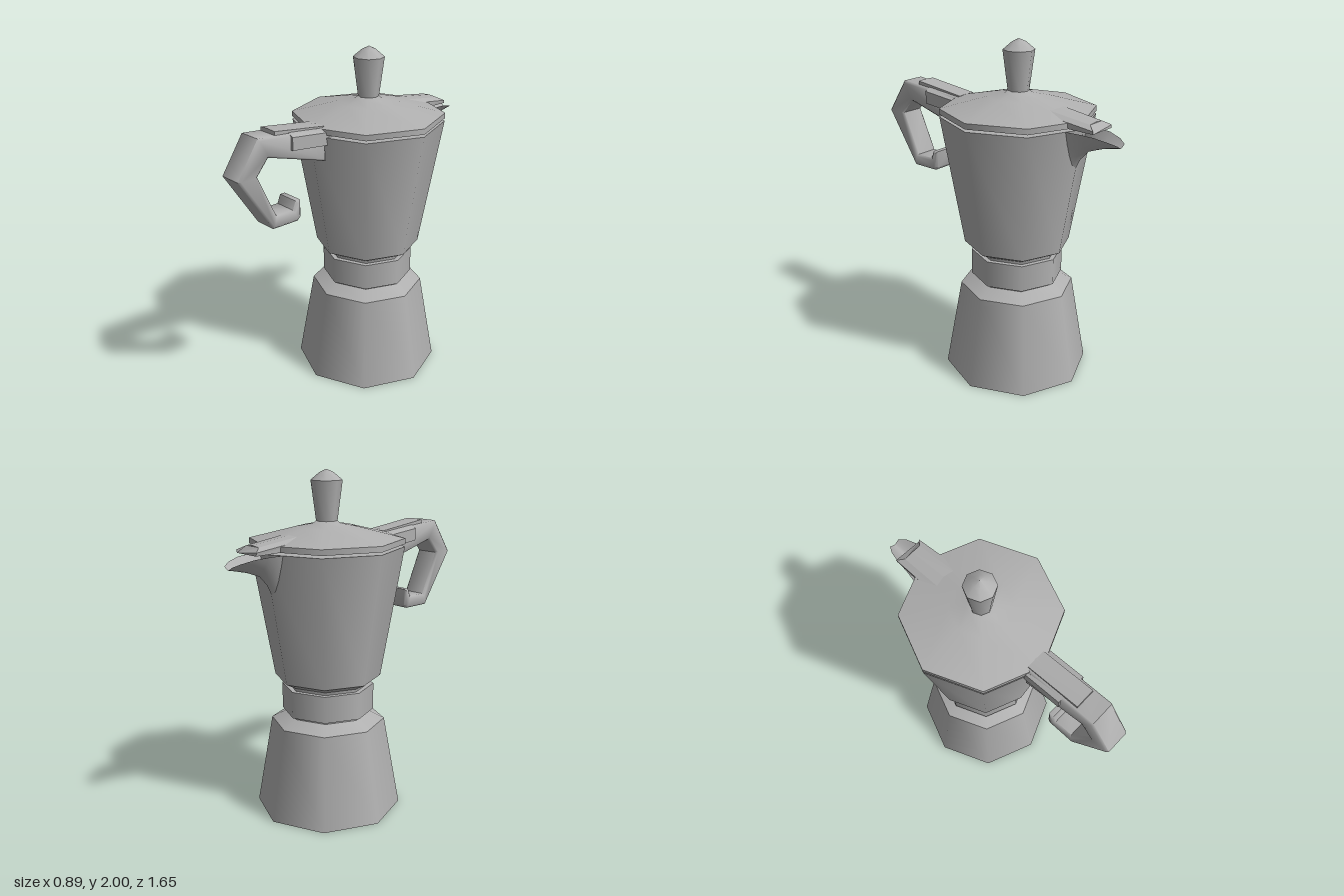
import * as THREE from 'three';
import { toCreasedNormals } from 'three/addons/utils/BufferGeometryUtils.js';

const SIDES = 8;
const AXIS_Z = -0.15; // the pot's centre line

export function createModel() {
  const group = new THREE.Group();
  const metal = new THREE.MeshStandardMaterial({ color: 0xb0b0b0, side: THREE.DoubleSide });
  metal.name = 'grey metal';

  const add = (name, geometry) => {
    const mesh = new THREE.Mesh(geometry, metal);
    mesh.name = name;
    group.add(mesh);
    return mesh;
  };

  // Octagonal turned part; a repeated profile point makes a sharp edge
  const turned = (name, profile) => {
    const points = profile.map(([r, y]) => new THREE.Vector2(r, y));
    add(name, new THREE.LatheGeometry(points, SIDES)).position.z = AXIS_Z;
  };

  turned('base', [[0, 0], [0.43, 0], [0.43, 0], [0.335, 0.54], [0.335, 0.54],
    [0.245, 0.585], [0.245, 0.585], [0.245, 0.61]]);
  turned('collar', [[0, 0.6], [0.27, 0.6], [0.27, 0.6], [0.27, 0.757], [0.27, 0.757], [0, 0.757]]);
  turned('pot', [[0.24, 0.75], [0.245, 0.775], [0.245, 0.775], [0.31, 0.81], [0.31, 0.81],
    [0.442, 1.57], [0.442, 1.57], [0, 1.57]]);
  turned('lid', [[0, 1.585], [0.443, 1.585], [0.443, 1.585], [0.443, 1.617], [0.443, 1.617],
    [0.175, 1.683], [0.08, 1.7], [0.06, 1.715], [0, 1.715]]);
  turned('knob', [[0, 1.71], [0.06, 1.71], [0.06, 1.71], [0.09, 1.94], [0.09, 1.94], [0.04, 1.982], [0, 2]]);

  // Ridged bar along z: cross-section given at z0, its height rising by slope
  const bar = (name, section, z0, z1, slope) => {
    const shape = new THREE.Shape(section.map(([x, y]) => new THREE.Vector2(x, y)));
    const geometry = new THREE.ExtrudeGeometry(shape, { depth: z1 - z0, bevelEnabled: false });
    const p = geometry.attributes.position;
    for (let i = 0; i < p.count; i++) p.setY(i, p.getY(i) + p.getZ(i) * slope);
    geometry.translate(0, 0, z0);
    geometry.computeVertexNormals();
    return add(name, toCreasedNormals(geometry, 0.7));
  };
  // Mirror the right half of a section, listed from bottom to ridge
  const mirrored = (half, ridge) => [...half, [0, ridge], ...half.map(([x, y]) => [-x, y]).reverse()];

  bar('handleMount', mirrored([[0.095, 1.522], [0.095, 1.595], [0.055, 1.617]], 1.627), 0.2, 0.485, 0.1);
  bar('hinge', mirrored([[0.06, 1.59], [0.06, 1.627]], 1.63), 0.24, 0.575, 0.12);

  // Hood over the spout, with its top cut back behind the side walls
  const hood = bar('spoutHood', mirrored([[0.085, 1.582], [0.088, 1.6], [0.055, 1.616]], 1.621), -0.71, -0.4, 0.13);
  const hp = hood.geometry.attributes.position;
  for (let i = 0; i < hp.count; i++) {
    const front = hp.getZ(i) < -0.7;
    if (front && Math.abs(hp.getX(i)) < 0.07) hp.setXYZ(i, hp.getX(i), hp.getY(i) + 0.005, -0.67);
    // Keep the underside level and widen it toward the lid
    if (!front) {
      hp.setX(i, hp.getX(i) * 1.13);
      if (hp.getY(i) < 1.63) hp.setY(i, 1.59);
    }
  }
  hood.geometry.computeVertexNormals();

  // Spout trough lofted outward: [z, half width, rim height, keel height]
  const stations = [
    [-0.54, 0.105, 1.57, 1.32], [-0.58, 0.098, 1.57, 1.4], [-0.63, 0.088, 1.568, 1.455],
    [-0.71, 0.077, 1.563, 1.485], [-0.785, 0.057, 1.547, 1.503], [-0.828, 0.032, 1.53, 1.512],
  ];
  const ring = 8;
  const positions = [];
  const indices = [];
  stations.forEach(([z, w, rim, keel], s) => {
    for (let i = 0; i <= ring; i++) {
      const t = (i / ring) * 2 - 1;
      positions.push(w * t, keel + (rim - keel) * Math.pow(Math.abs(t), 1.4), z);
      if (s && i) {
        const b = s * (ring + 1) + i;
        const a = b - ring - 1;
        indices.push(a - 1, b - 1, a, a, b - 1, b);
      }
    }
  });
  const spout = new THREE.BufferGeometry();
  spout.setAttribute('position', new THREE.Float32BufferAttribute(positions, 3));
  spout.setIndex(indices);
  spout.computeVertexNormals();
  add('spout', spout);

  // Hooked handle, drawn as (z, y) and extruded across x
  const outline = [
    [0.25, 1.62], [0.5, 1.64], [0.69, 1.655], [0.825, 1.45], [0.615, 1.13], [0.445, 1.13],
    [0.425, 1.15], [0.425, 1.25], [0.457, 1.25], [0.477, 1.2], [0.59, 1.2],
    [0.705, 1.45], [0.63, 1.54], [0.24, 1.43],
  ].map(([z, y]) => new THREE.Vector2(z, y));
  const bevel = 0.012;
  const depth = 0.16 - 2 * bevel;
  const handle = new THREE.ExtrudeGeometry(new THREE.Shape(outline), {
    depth, bevelThickness: bevel, bevelSize: bevel, bevelOffset: -bevel, bevelSegments: 1,
  });
  handle.translate(0, 0, -depth / 2);
  handle.rotateY(-Math.PI / 2);
  add('handle', toCreasedNormals(handle, 0.9));

  return group;
}
